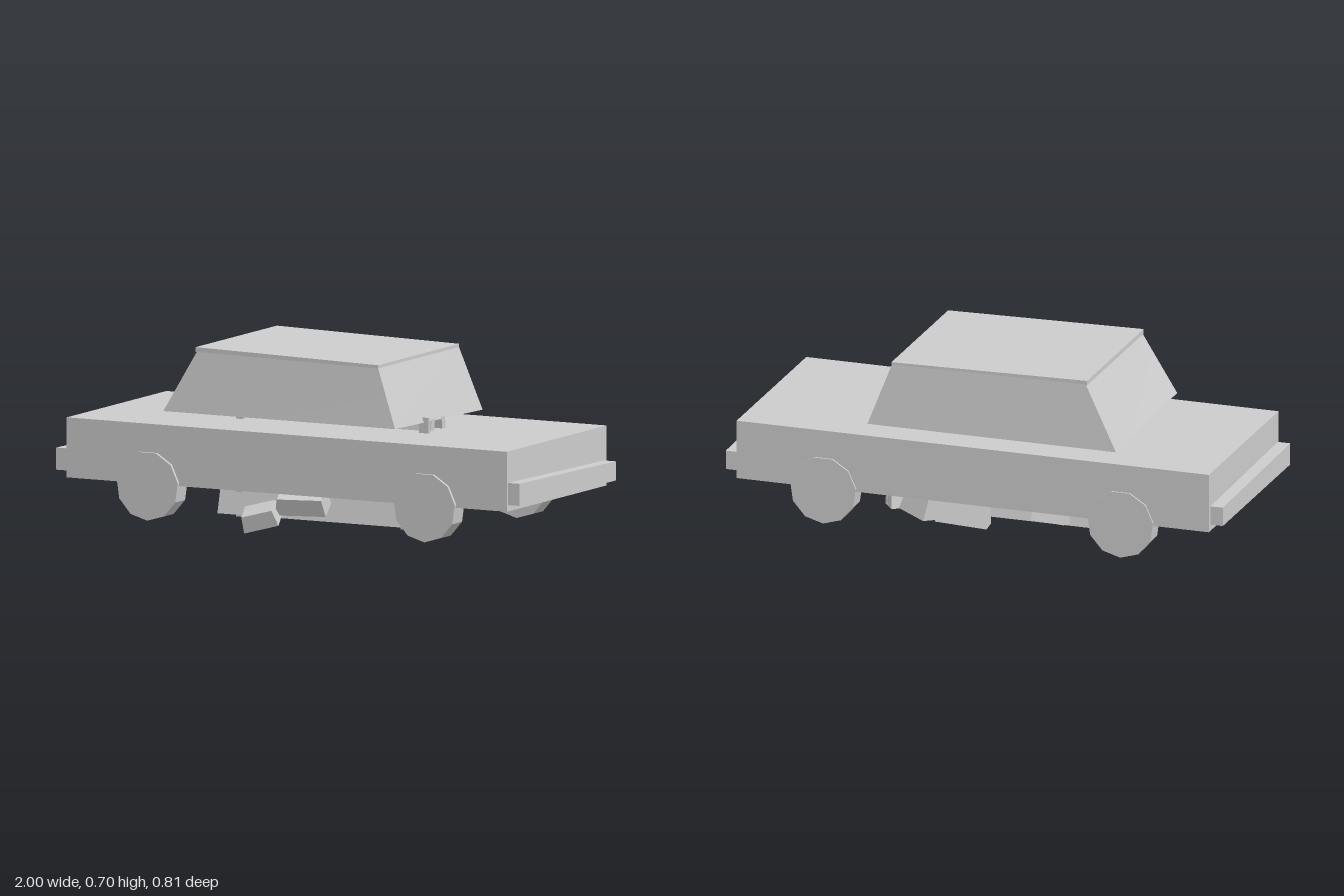
import * as THREE from 'three';

const grey = new THREE.MeshStandardMaterial({ color: 0xcccccc });
grey.name = 'plain grey';

// Six-sided block from two rectangles [x0, x1, z0, z1]; y0 and y1 may depend on x and z
function block(name, bottom, top, y0, y1) {
  const geo = new THREE.BoxGeometry(1, 1, 1);
  const p = geo.attributes.position;
  for (let i = 0; i < p.count; i++) {
    const up = p.getY(i) > 0;
    const r = up ? top : bottom;
    const x = p.getX(i) > 0 ? r[1] : r[0];
    const z = p.getZ(i) > 0 ? r[3] : r[2];
    const y = up ? y1 : y0;
    p.setXYZ(i, x, typeof y === 'function' ? y(x, z) : y, z);
  }
  geo.computeVertexNormals();
  const mesh = new THREE.Mesh(geo, grey);
  mesh.name = name;
  return mesh;
}

// Loose tilted block, slightly tapered towards its top
function chunk(name, size, position, rotation) {
  const [w, h, d] = size.map((s) => s / 2);
  const mesh = block(name, [-w, w, -d, d], [-w * 0.85, w * 0.9, -d * 0.85, d * 0.85], -h, h);
  mesh.position.set(...position);
  mesh.rotation.set(...rotation);
  return mesh;
}

export function createModel() {
  const car = new THREE.Group();
  car.name = 'car';

  // Long box body
  const hull = [-0.95, 0.95, -0.398, 0.393];
  car.add(block('body', hull, hull, 0.17, 0.4));

  // Cabin with sloping sides, floating just above the body, and its roof panel
  car.add(block('cabin', [-0.56, 0.44, -0.352, 0.343], [-0.43, 0.35, -0.328, 0.313],
    (x, z) => 0.438 + z * 0.02, (x) => 0.675 - x * 0.012));
  const roof = [-0.435, 0.352, -0.328, 0.316];
  car.add(block('roof', roof, roof, (x) => 0.672 - x * 0.012, (x) => 0.687 - x * 0.019));

  // Bumpers
  for (const s of [-1, 1]) {
    const x = s > 0 ? [0.95, 1] : [-1, -0.95];
    const low = [...x, -0.38, 0.385];
    car.add(block(s > 0 ? 'leftBumper' : 'rightBumper', low, low, 0.195, (px, z) => 0.274 + z * 0.015));
  }

  // Low-poly wheels
  for (const x of [-0.596, 0.6]) {
    for (const s of [-1, 1]) {
      const geo = new THREE.CylinderGeometry(0.133, 0.133, 0.078, 11).toNonIndexed();
      geo.rotateX(Math.PI / 2);
      geo.computeVertexNormals();
      const wheel = new THREE.Mesh(geo, grey);
      wheel.name = 'wheel';
      wheel.position.set(x, 0.163, s * 0.366);
      car.add(wheel);
    }
  }

  // Tapered tray hanging below the body
  car.add(block('underTray', [-0.44, 0.44, -0.13, 0.135], [-0.44, 0.44, -0.095, 0.1], 0.035, 0.175));

  // Slanted plates and posts between body and cabin
  for (const s of [-1, 1]) {
    const z = (a, b) => (s > 0 ? [a, b] : [-b, -a]);
    car.add(block('slantedPlate', [0.2, 0.44, ...z(0.032, 0.062)], [-0.34, 0.44, ...z(0.026, 0.052)], 0.395, 0.445));
  }
  const posts = [[-0.37, -0.34, 0.025, 0.445], [0.34, 0.37, 0.025, 0.18], [0.42, 0.46, 0.39, 0.46]];
  for (const [x0, x1, y0, y1] of posts) {
    const r = [x0, x1, 0.1, 0.114];
    car.add(block('post', r, r, y0, y1));
  }

  // Loose blocks around the tray
  const loose = [
    [[0.2, 0.1, 0.13], [0.08, 0.1, -0.265], [0.15, 0.2, 0.08]],
    [[0.13, 0.08, 0.11], [-0.24, 0.1, -0.18], [0.3, 0.1, 0.05]],
    [[0.12, 0.1, 0.14], [0.38, 0.085, -0.11], [0.2, 0.5, -0.1]],
    [[0.13, 0.1, 0.15], [0.27, 0.075, -0.15], [0.2, -0.4, 0.25]],
    [[0.14, 0.065, 0.1], [-0.18, 0.06, 0.27], [0.4, 0.3, 0.15]],
    [[0.2, 0.07, 0.09], [-0.04, 0.115, 0.2], [0.5, 0.2, -0.1]],
  ];
  for (const [size, position, rotation] of loose) car.add(chunk('looseBlock', size, position, rotation));

  return car;
}
